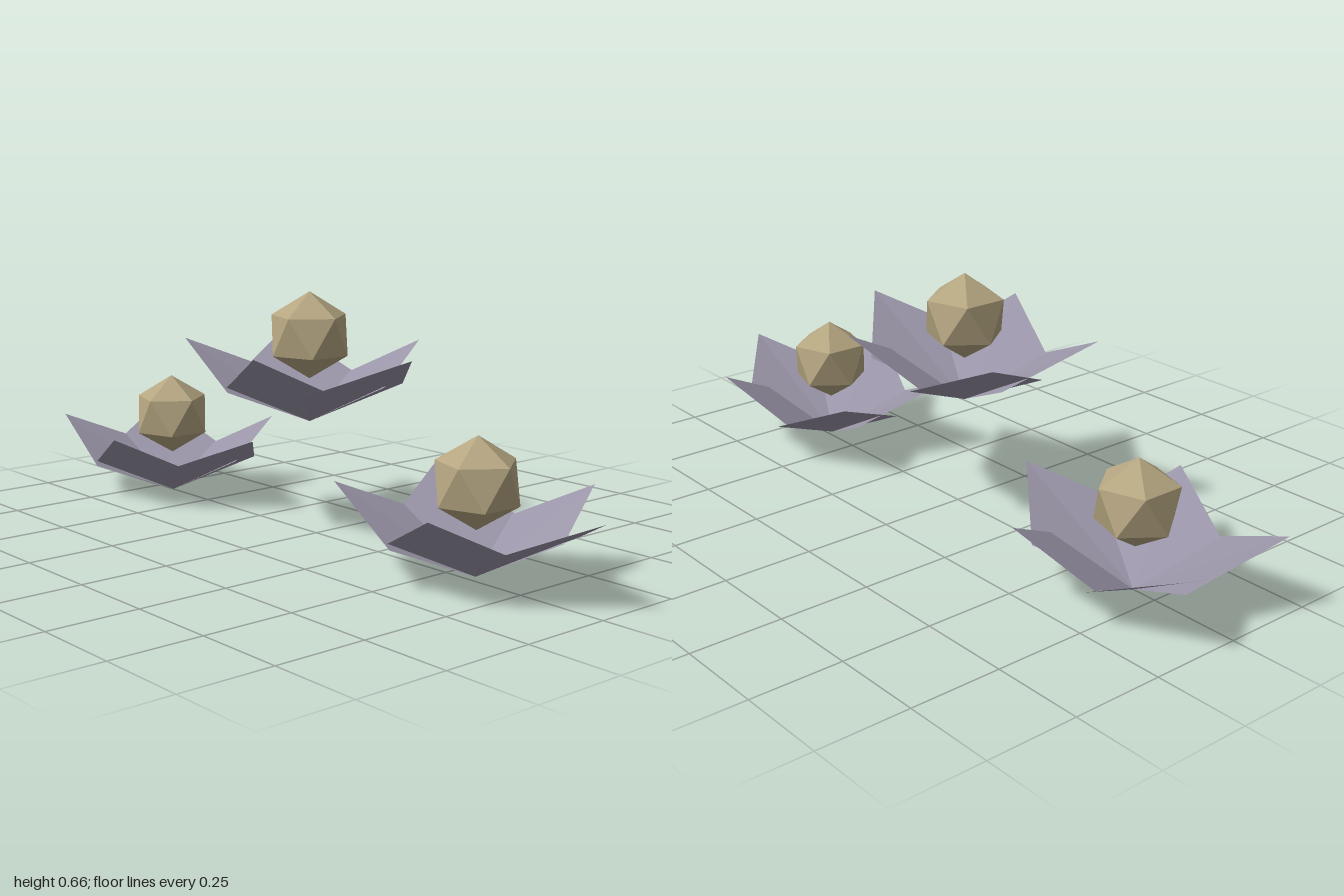
import * as THREE from 'three';

const petalMaterial = new THREE.MeshStandardMaterial({ color: 0x9a95a8, side: THREE.DoubleSide, flatShading: true });
petalMaterial.name = 'lavender grey';
const coreMaterial = new THREE.MeshStandardMaterial({ color: 0xb5a681, flatShading: true });
coreMaterial.name = 'dull gold';

// A petal is a diamond from the flower base, creased along its middle
function petalGeometry(left, tip, right) {
  const base = [0, 0, 0];
  const geometry = new THREE.BufferGeometry();
  const corners = [base, left, tip, base, tip, right].flat();
  geometry.setAttribute('position', new THREE.Float32BufferAttribute(corners, 3));
  geometry.computeVertexNormals();
  return geometry;
}

const mirrorZ = ([x, y, z]) => [x, y, -z];

// Corners of each petal: left, tip, right
const frontPetal = [[-0.083, 0.105, 0.218], [0.125, 0.211, 0.29], [0.2, 0.108, 0.09]];
const rearPetal = [[-0.232, 0.105, -0.07], [-0.322, 0.211, 0.18], [-0.06, 0.096, 0.233]];
const sidePetal = [[0.18, 0.108, 0.176], [0.398, 0.211, 0], [0.18, 0.108, -0.176]];
const mirrored = (p) => [...p].reverse().map(mirrorZ);
const petals = [sidePetal, frontPetal, rearPetal, mirrored(frontPetal), mirrored(rearPetal)]
  .map((p) => petalGeometry(...p));

// Faceted core turned so that one corner points straight up
const coreGeometry = new THREE.IcosahedronGeometry(0.118, 0);
coreGeometry.rotateZ(-Math.atan(2 / (1 + Math.sqrt(5))));

function createFlower() {
  const flower = new THREE.Group();
  petals.forEach((geometry) => {
    const petal = new THREE.Mesh(geometry, petalMaterial);
    petal.name = 'petal';
    flower.add(petal);
  });
  const core = new THREE.Mesh(coreGeometry, coreMaterial);
  core.name = 'flowerCore';
  core.position.y = 0.236;
  flower.add(core);
  return flower;
}

export function createModel() {
  const model = new THREE.Group();
  model.name = 'flowers';
  // Right, middle and left flower
  [[-0.678, 0], [-0.028, 0.308], [0.602, 0.012]].forEach(([x, y]) => {
    const flower = createFlower();
    flower.name = 'flower';
    flower.position.set(x, y, 0);
    model.add(flower);
  });
  return model;
}
